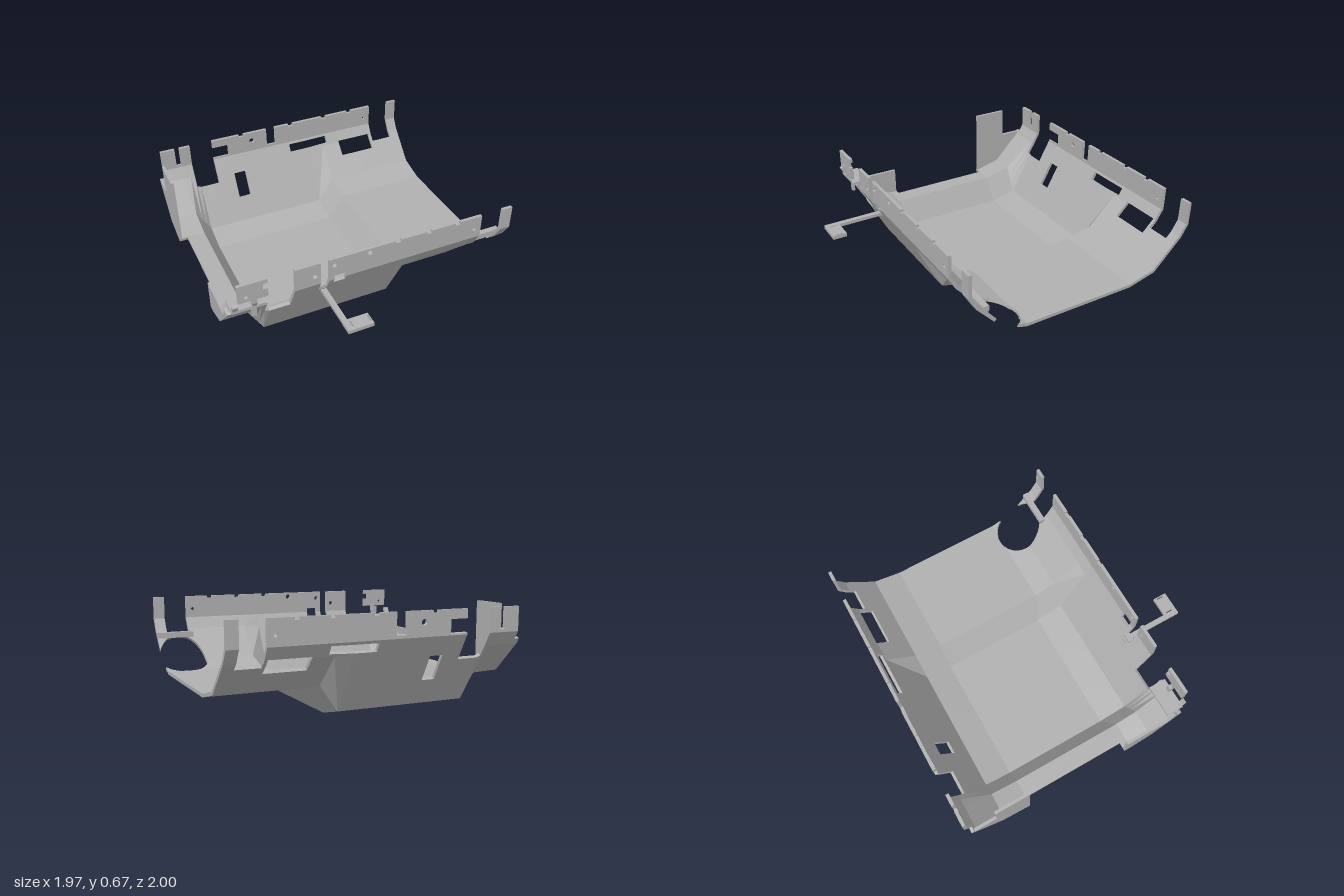
import * as THREE from 'three';

const THICK = 0.022;
// Cross-sections (z, y), running from the front rim under the floor to the back rim
const SHALLOW = [[0.65, 0.67], [0.65, 0.51], [0.6, 0.425], [0.41, 0.22], [0.25, 0.17],
  [-0.55, 0.17], [-0.75, 0.22], [-0.95, 0.425], [-1, 0.51], [-1, 0.67]];
const DEEP = [[0.65, 0.67], [0.65, 0.51], [0.6, 0.414], [0.41, 0.05], [0.2, 0],
  [-0.55, 0], [-0.75, 0.05], [-0.95, 0.418], [-1, 0.51], [-1, 0.67]];

// Mitred inward offset of a cross-section
function inset(p) {
  const normal = (i) => {
    const dz = p[i + 1][0] - p[i][0], dy = p[i + 1][1] - p[i][1], l = Math.hypot(dz, dy);
    return [dy / l, -dz / l];
  };
  return p.map(([z, y], i) => {
    const a = normal(Math.max(i - 1, 0)), b = normal(Math.min(i, p.length - 2));
    const k = THICK / (1 + a[0] * b[0] + a[1] * b[1]);
    return [z + (a[0] + b[0]) * k, y + (a[1] + b[1]) * k];
  });
}
const SHALLOW_IN = inset(SHALLOW), DEEP_IN = inset(DEEP);

// How deep the pan is along x: 0 shallow, 1 deep
function depthAt(x) {
  if (x < 0) return THREE.MathUtils.clamp((x + 0.8) / 0.1, 0, 1);
  return THREE.MathUtils.clamp((0.32 - x) / 0.12, 0, 1);
}

function point(x, s, inner) {
  const a = inner ? SHALLOW_IN : SHALLOW, b = inner ? DEEP_IN : DEEP;
  const k = Math.min(Math.floor(s), 8), t = s - k, d = depthAt(x);
  const at = (c) => THREE.MathUtils.lerp(
    THREE.MathUtils.lerp(a[k][c], a[k + 1][c], t), THREE.MathUtils.lerp(b[k][c], b[k + 1][c], t), d);
  return [x, at(1), at(0)];
}

// Position along the section from z (slopes and floor) or from y (upright rims)
function byZ(z) {
  for (let i = 1; i < 8; i++) {
    const a = SHALLOW[i][0], b = SHALLOW[i + 1][0];
    if (z <= a && z >= b) return i + (a - z) / (a - b);
  }
  return z > 0 ? 1 : 8;
}
const frontY = (y) => (0.67 - y) / 0.16;
const backY = (y) => 9 - (0.67 - y) / 0.16;

// Cutouts: x range, section range at x, and the x lines they need
const cut = (x0, x1, lo, hi) => ({ x0, x1, xs: [x0, x1], range: () => [lo, hi] });
function roundCut(cx, c, r, toS, n) {
  const xs = [];
  for (let i = 0; i <= n; i++) xs.push(Math.min(0.985, cx - r * Math.cos(Math.PI * i / n)));
  return {
    x0: xs[0], x1: xs[n], xs,
    range: (x) => {
      const h = Math.sqrt(Math.max(0, r * r - (x - cx) ** 2));
      return [toS(c + h), toS(c - h)].sort((a, b) => a - b);
    },
  };
}

const cuts = [
  // rim gaps
  cut(-0.73, -0.56, 0, byZ(0.55)), cut(-0.73, -0.56, byZ(-0.91), 9),
  cut(0.75, 0.91, 0, byZ(0.55)), cut(0.75, 0.91, byZ(-0.91), 9),
  // open left end
  cut(-0.985, -0.925, byZ(0.2), byZ(-0.55)),
  cut(-0.985, -0.955, 0, byZ(0.61)), cut(-0.985, -0.95, byZ(-0.97), 9),
  // front left plate standing on a stem
  cut(-0.955, -0.92, 0, frontY(0.52)),
  cut(-0.92, -0.83, frontY(0.54), byZ(0.62)), cut(-0.8, -0.73, frontY(0.54), byZ(0.62)),
  cut(-0.76, -0.73, frontY(0.64), frontY(0.6)),
  // front wall slit and window
  cut(-0.39, -0.335, 0, byZ(0.605)), cut(-0.3, -0.22, frontY(0.54), byZ(0.63)),
  // back wall slots and windows
  cut(-0.845, -0.81, backY(0.53), 9), cut(-0.13, -0.06, backY(0.53), 9),
  cut(-0.56, -0.44, backY(0.52), backY(0.61)),
  cut(-0.43, -0.34, byZ(-0.84), byZ(-0.93)),
  cut(0.46, 0.73, byZ(-0.87), byZ(-0.955)),
  cut(0.05, 0.36, byZ(-0.96), byZ(-0.99)),
  // large opening and bolt holes
  roundCut(0.84, 0.4, 0.165, byZ, 20),
  roundCut(0.7, 0.575, 0.012, frontY, 6), roundCut(-0.87, 0.575, 0.012, frontY, 6),
  roundCut(0.7, 0.575, 0.012, backY, 6), roundCut(-0.06, 0.64, 0.018, frontY, 6),
  roundCut(-0.43, 0.575, 0.016, frontY, 6), roundCut(-0.3, 0.62, 0.016, frontY, 6),
  roundCut(-0.25, 0.6, 0.02, backY, 6),
];
// small clip notches along the rims
for (const x of [0.14, 0.36, 0.57]) cuts.push(cut(x - 0.018, x + 0.018, 0, frontY(0.652)));
for (const x of [-0.33, 0.07, 0.35, 0.57]) cuts.push(cut(x - 0.018, x + 0.018, backY(0.652), 9));

// The pan is a row of solid strips, leaving the cutouts empty
function panGeometry() {
  const pos = [];
  const quad = (a, b, c, d) => pos.push(...a, ...b, ...c, ...a, ...c, ...d);
  const block = (x0, x1, a0, b0, a1, b1) => {
    const [A, B, C, D] = [[x0, a0], [x1, b0], [x1, b1], [x0, a1]].map(
      ([x, s]) => [point(x, s, false), point(x, s, true)]);
    quad(A[0], D[0], C[0], B[0]);
    quad(A[1], B[1], C[1], D[1]);
    quad(A[0], B[0], B[1], A[1]);
    quad(D[0], D[1], C[1], C[0]);
    quad(A[0], A[1], D[1], D[0]);
    quad(B[0], C[0], C[1], B[1]);
  };
  const strip = (x0, x1, a0, b0, a1, b1) => {
    for (let k = 0; k < 9; k++) {
      const c = (s) => THREE.MathUtils.clamp(s, k, k + 1);
      if (c(a1) - c(a0) > 1e-4 || c(b1) - c(b0) > 1e-4)
        block(x0, x1, c(a0), c(b0), Math.max(c(a0), c(a1)), Math.max(c(b0), c(b1)));
    }
  };
  const xs = [-0.985, -0.8, -0.7, 0.2, 0.32, 0.985, ...cuts.flatMap((c) => c.xs)]
    .sort((a, b) => a - b).filter((x, i, all) => i === 0 || x - all[i - 1] > 1e-5);
  for (let i = 0; i < xs.length - 1; i++) {
    const x0 = xs[i], x1 = xs[i + 1], mid = (x0 + x1) / 2;
    const gaps = cuts.filter((c) => c.x0 < mid && c.x1 > mid)
      .map((c) => [c.range(x0), c.range(x1)])
      .sort((p, q) => p[0][0] + p[1][0] - q[0][0] - q[1][0]);
    let a = 0, b = 0;
    for (const [l, r] of [...gaps, [[9, 9], [9, 9]]]) {
      strip(x0, x1, a, b, l[0], r[0]);
      a = Math.max(a, l[1]);
      b = Math.max(b, r[1]);
    }
  }
  const g = new THREE.BufferGeometry();
  g.setAttribute('position', new THREE.Float32BufferAttribute(pos, 3));
  g.computeVertexNormals();
  return g;
}

export function createModel() {
  const model = new THREE.Group();
  const grey = new THREE.MeshStandardMaterial({ color: 0xb0b0b0 });
  grey.name = 'plain grey';
  const add = (name, geometry) => {
    const mesh = new THREE.Mesh(geometry, grey);
    mesh.name = name;
    model.add(mesh);
    return mesh;
  };
  const box = (name, x0, x1, y0, y1, z0, z1) =>
    add(name, new THREE.BoxGeometry(x1 - x0, y1 - y0, z1 - z0))
      .position.set((x0 + x1) / 2, (y0 + y1) / 2, (z0 + z1) / 2);

  add('pan', panGeometry());

  // Upright plates on the left end, outlined in (z, y)
  const endPlate = (name, outline) => {
    const shape = new THREE.Shape(outline.map(([z, y]) => new THREE.Vector2(-z, y)));
    const g = new THREE.ExtrudeGeometry(shape, { depth: 0.02, bevelEnabled: false });
    g.rotateY(Math.PI / 2);
    add(name, g).position.x = -0.985;
  };
  endPlate('backEndPlate', [[-0.55, 0.17], [-0.75, 0.22], [-0.95, 0.425], [-0.97, 0.46],
    [-0.79, 0.46], [-0.79, 0.67], [-0.55, 0.67]]);
  endPlate('frontEndPlate', [[0.2, 0.17], [0.25, 0.17], [0.41, 0.22], [0.6, 0.425],
    [0.56, 0.46], [0.52, 0.375], [0.2, 0.375]]);

  // Front left shelf with the stem of the plate above it
  box('cornerShelf', -0.96, -0.74, 0.455, 0.475, 0.51, 0.63);
  box('plateStem', -0.83, -0.8, 0.38, 0.54, 0.6, 0.62);

  // Bar across the large opening
  box('openingBar', 0.73, 0.985, 0.385, 0.425, 0.515, 0.555);

  // Arm reaching forward, ending in a slotted tab
  box('frontArm', -0.37, -0.335, 0.39, 0.412, 0.56, 0.91);
  const tab = new THREE.Shape([[-0.37, -1], [-0.2, -1], [-0.2, -0.905], [-0.37, -0.905]]
    .map(([x, y]) => new THREE.Vector2(x, y)));
  for (const x of [-0.333, -0.215]) {
    tab.holes.push(new THREE.Path([[x, -0.975], [x, -0.925], [x + 0.01, -0.925], [x + 0.01, -0.975]]
      .map(([u, v]) => new THREE.Vector2(u, v))));
  }
  const tabGeometry = new THREE.ExtrudeGeometry(tab, { depth: 0.025, bevelEnabled: false });
  tabGeometry.rotateX(-Math.PI / 2);
  add('armTab', tabGeometry).position.y = 0.387;
  box('armHook', -0.395, -0.33, 0.43, 0.45, 0.57, 0.61);

  return model;
}
